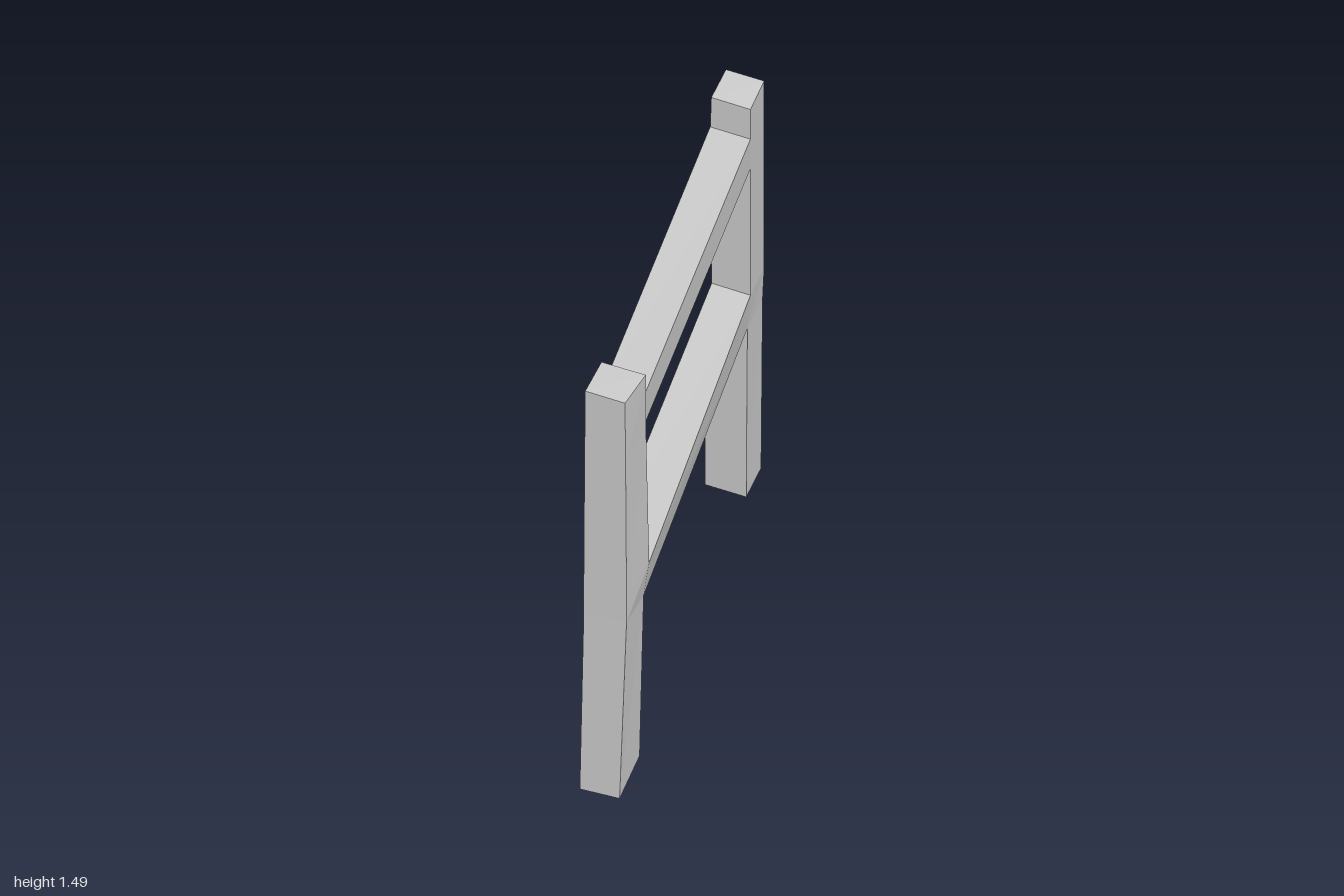
import * as THREE from 'three';

const material = new THREE.MeshStandardMaterial({ color: 0xcccccc, flatShading: true });

// Skins a timber through four-cornered sections [x, y, z]. Corners run
// counter-clockwise as seen from the far end, looking back to the start.
function timber(name, sections) {
  const positions = [];
  const quad = (a, b, c, d) => positions.push(...a, ...b, ...c, ...a, ...c, ...d);
  for (let i = 0; i < sections.length - 1; i++) {
    const s = sections[i], t = sections[i + 1];
    for (let k = 0; k < 4; k++) {
      const n = (k + 1) % 4;
      quad(s[k], s[n], t[n], t[k]);
    }
  }
  quad(...[...sections[0]].reverse());
  quad(...sections[sections.length - 1]);
  const geometry = new THREE.BufferGeometry();
  geometry.setAttribute('position', new THREE.Float32BufferAttribute(positions, 3));
  geometry.computeVertexNormals();
  const mesh = new THREE.Mesh(geometry, material);
  mesh.name = name;
  return mesh;
}

export function createModel() {
  const group = new THREE.Group();
  group.name = 'fence';

  // Post sections, bottom to top: front right, front left, back left, back right
  const frontPost = [
    [[-0.05, 0.015, 1], [0.08, 0, 1], [0.09, 0.035, 0.79], [-0.035, 0.05, 0.79]],
    [[-0.04, 0.66, 0.99], [0.10, 0.65, 0.99], [0.102, 0.63, 0.785], [-0.03, 0.655, 0.785]],
    [[-0.04, 0.78, 0.99], [0.10, 0.76, 0.99], [0.12, 0.755, 0.785], [-0.03, 0.78, 0.785]],
    [[-0.037, 1.27, 0.99], [0.097, 1.25, 0.99], [0.113, 1.25, 0.797], [-0.032, 1.27, 0.797]],
    [[-0.035, 1.49, 0.99], [0.095, 1.465, 0.99], [0.113, 1.46, 0.80], [-0.032, 1.485, 0.80]],
  ];
  const backPost = [
    [[-0.125, 0.04, -0.835], [0.01, 0.015, -0.835], [0.015, 0.025, -1], [-0.105, 0.045, -1]],
    [[-0.125, 0.665, -0.83], [0.015, 0.645, -0.83], [0.02, 0.655, -1], [-0.105, 0.67, -1]],
    [[-0.102, 0.795, -0.83], [0.025, 0.77, -0.83], [0.025, 0.77, -1], [-0.10, 0.79, -1]],
    [[-0.11, 1.265, -0.83], [0.025, 1.24, -0.83], [0.025, 1.24, -1], [-0.10, 1.26, -1]],
    [[-0.103, 1.485, -0.83], [0.025, 1.46, -0.83], [0.025, 1.465, -1], [-0.10, 1.488, -1]],
  ];

  // Rail sections, back to front: bottom right, bottom left, top left, top right
  const lowerRail = [
    [[-0.125, 0.665, -0.83], [0.015, 0.645, -0.83], [0.025, 0.77, -0.83], [-0.102, 0.795, -0.83]],
    [[-0.03, 0.655, 0.785], [0.102, 0.63, 0.785], [0.12, 0.755, 0.785], [-0.03, 0.78, 0.785]],
  ];
  const upperRail = [
    [[-0.11, 1.265, -0.83], [0.025, 1.24, -0.83], [0.025, 1.35, -0.83], [-0.107, 1.375, -0.83]],
    [[-0.032, 1.27, 0.80], [0.10, 1.25, 0.80], [0.10, 1.36, 0.80], [-0.032, 1.38, 0.80]],
  ];

  group.add(
    timber('frontPost', frontPost),
    timber('backPost', backPost),
    timber('lowerRail', lowerRail),
    timber('upperRail', upperRail),
  );
  return group;
}
